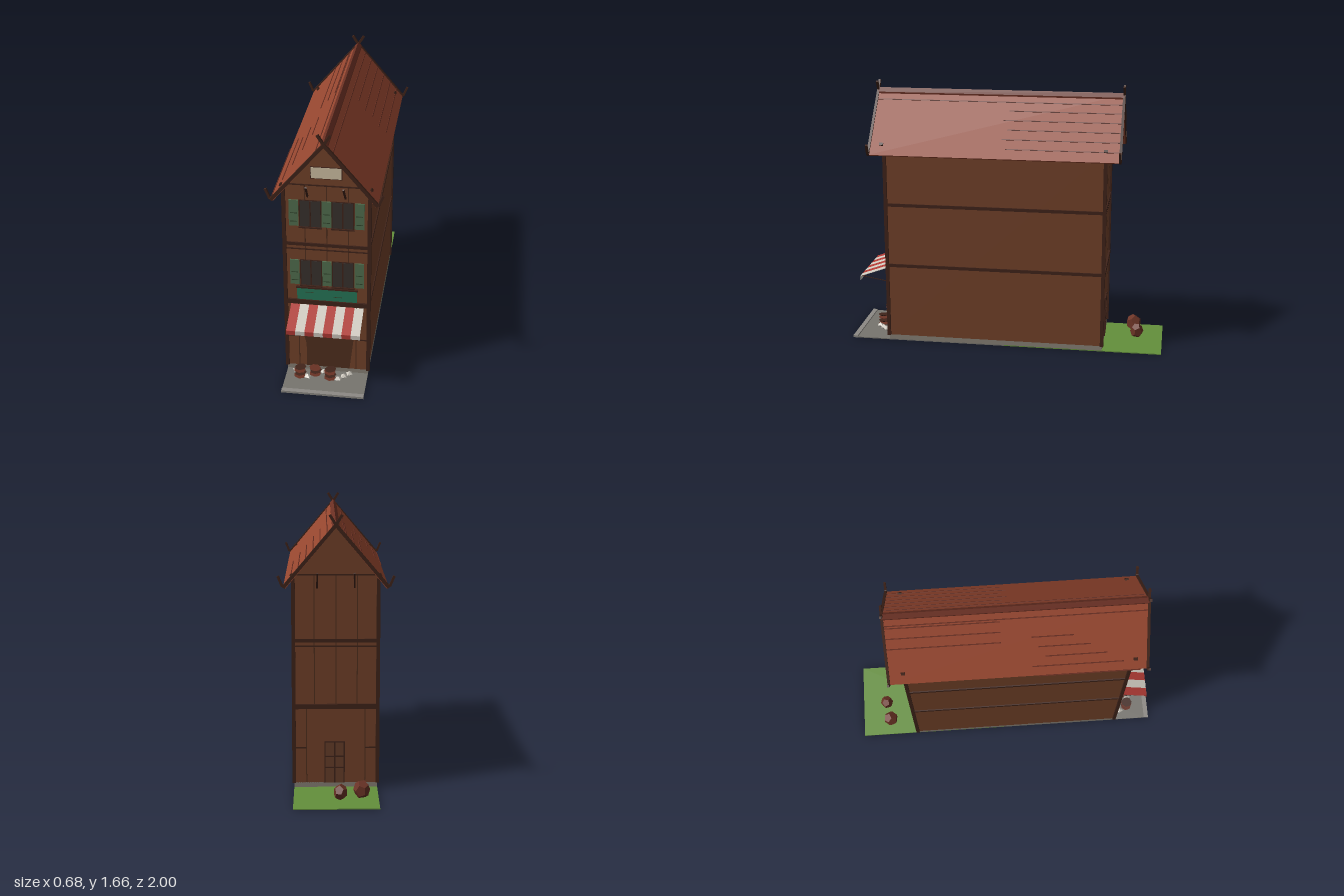
import * as THREE from 'three';

const mat = (color) => new THREE.MeshStandardMaterial({ color, flatShading: true, side: THREE.DoubleSide });
const M = {
  wall: mat(0x75432a), timber: mat(0x41241a), seam: mat(0x52301f), roof: mat(0x96462f), roofLine: mat(0x6b3023),
  stone: mat(0x8a8378), road: mat(0x77756f), curb: mat(0x8d8a85), grass: mat(0x64903c), glass: mat(0x3a322f),
  shutter: mat(0x537050), slat: mat(0x33482f), sign: mat(0x27795a), red: mat(0xb03a34), white: mat(0xcfcac0),
  cream: mat(0xbfb196), shade: mat(0x51301f), rock: mat(0x6b3325), door: mat(0x69402b),
};
const FRONT = 0.755, BACK = -0.625, W = 0.25;

export function createModel() {
  const root = new THREE.Group();

  const add = (parent, name, geo, m) => {
    const mesh = new THREE.Mesh(geo, m);
    mesh.name = name;
    parent.add(mesh);
    return mesh;
  };
  const group = (name, parent = root) => {
    const g = new THREE.Group();
    g.name = name;
    parent.add(g);
    return g;
  };
  // box given by its extents
  const box = (parent, name, x0, x1, y0, y1, z0, z1, m) => {
    const b = add(parent, name, new THREE.BoxGeometry(x1 - x0, y1 - y0, z1 - z0), m);
    b.position.set((x0 + x1) / 2, (y0 + y1) / 2, (z0 + z1) / 2);
    return b;
  };
  // square bar between two points
  const bar = (parent, name, a, b, w, d, m) => {
    const p = new THREE.Vector3(...a), q = new THREE.Vector3(...b);
    const mesh = add(parent, name, new THREE.BoxGeometry(w, p.distanceTo(q), d), m);
    mesh.position.copy(p).add(q).multiplyScalar(0.5);
    mesh.quaternion.setFromUnitVectors(new THREE.Vector3(0, 1, 0), q.sub(p).normalize());
    return mesh;
  };
  const polygon = (pts) => new THREE.Shape(pts.map((p) => new THREE.Vector2(...p)));
  const extrude = (parent, name, pts, depth, z, m) => {
    const mesh = add(parent, name, new THREE.ExtrudeGeometry(polygon(pts), { depth, bevelEnabled: false }), m);
    mesh.position.z = z;
    return mesh;
  };

  // Ground
  const ground = group('ground');
  box(ground, 'road', -W, W, 0, 0.006, 0, 0.97, M.road);
  box(ground, 'curb', -W, W, 0, 0.014, 0.97, 1, M.curb);
  box(ground, 'grass', -W, W, 0, 0.006, -1, 0, M.grass);
  box(ground, 'foundation', -W, W, 0.004, 0.036, BACK, FRONT, M.stone);

  // House body with gables
  const house = group('house');
  extrude(house, 'walls', [[-W, 0.034], [W, 0.034], [W, 1.29], [0, 1.585], [-W, 1.29]], FRONT - BACK, BACK, M.wall);
  for (const s of [-1, 1]) {
    for (const z of [FRONT, BACK]) {
      box(house, 'cornerPost', s * 0.25 - 0.011, s * 0.25 + 0.011, 0.034, 1.28, z - 0.011, z + 0.011, M.timber);
    }
    for (const y of [0.51, 0.91]) {
      box(house, 'sideBeam', s * 0.252 - 0.005, s * 0.252 + 0.005, y - 0.01, y + 0.01, BACK, FRONT, M.timber);
    }
  }

  // Beams, seams and eave struts repeated on both gable walls
  for (const [z, dir, name] of [[FRONT, 1, 'frontFraming'], [BACK, -1, 'backFraming']]) {
    const f = group(name, house);
    const strip = (n, x0, x1, y0, y1, t, m) =>
      box(f, n, x0, x1, y0, y1, Math.min(z, z + dir * t), Math.max(z, z + dir * t), m);
    strip('mainBeam', -W, W, 0.495, 0.525, 0.012, M.timber);
    strip('upperBeam', -W, W, 0.9, 0.92, 0.008, M.timber);
    strip('lowerRail', -W, W, 0.872, 0.88, 0.005, M.timber);
    strip('gableRail', -W, W, 1.297, 1.305, 0.005, M.timber);
    for (const x of [-0.127, 0, 0.127]) strip('seam', x - 0.003, x + 0.003, 0.525, 1.3, 0.002, M.seam);
    for (const s of [-1, 1]) {
      strip('lowerSeam', s * 0.175 - 0.003, s * 0.175 + 0.003, 0.036, 0.495, 0.003, M.seam);
      strip('lowerCrossRail', Math.min(s * 0.175, s * W), Math.max(s * 0.175, s * W), 0.25, 0.258, 0.003, M.timber);
      bar(f, 'eaveStrut', [s * 0.11, 1.225, z], [s * 0.107, 1.32, z + dir * 0.075], 0.01, 0.01, M.timber);
    }
  }

  // Back door
  const door = group('backDoor');
  box(door, 'doorPanel', -0.05, 0.065, 0.034, 0.29, BACK - 0.004, BACK, M.door);
  for (const x of [-0.05, 0.007, 0.065]) box(door, 'doorStile', x - 0.004, x + 0.004, 0.034, 0.29, BACK - 0.008, BACK, M.timber);
  for (const y of [0.13, 0.2, 0.29]) box(door, 'doorRail', -0.054, 0.069, y - 0.004, y + 0.004, BACK - 0.008, BACK, M.timber);

  // Windows and shutters on two floors
  for (const y of [0.63, 1.03]) {
    const row = group('windowRow');
    for (const x of [-0.095, 0.095]) {
      box(row, 'windowFrame', x - 0.066, x + 0.066, y - 0.002, y + 0.173, FRONT, FRONT + 0.004, M.timber);
      box(row, 'windowPane', x - 0.059, x + 0.059, y, y + 0.168, FRONT, FRONT + 0.006, M.glass);
      box(row, 'mullion', x - 0.004, x + 0.004, y, y + 0.168, FRONT, FRONT + 0.008, M.timber);
      box(row, 'windowSill', x - 0.068, x + 0.068, y - 0.01, y - 0.002, FRONT, FRONT + 0.012, M.timber);
    }
    for (const x of [-0.192, 0, 0.192]) {
      box(row, 'shutter', x - 0.028, x + 0.028, y + 0.002, y + 0.17, FRONT, FRONT + 0.008, M.shutter);
      for (const dy of [0.03, 0.085]) box(row, 'shutterSlat', x - 0.02, x + 0.02, y + dy, y + dy + 0.005, FRONT, FRONT + 0.01, M.slat);
    }
  }

  // Gable vent
  box(root, 'gableVent', -0.092, 0.092, 1.345, 1.42, FRONT, FRONT + 0.005, M.timber);
  for (let i = 0; i < 4; i++) {
    const slat = box(root, 'ventSlat', -0.087, 0.087, 1.35 + i * 0.017, 1.366 + i * 0.017, FRONT + 0.006, FRONT + 0.009, M.cream);
    slat.rotation.x = -0.2;
  }

  // Blank shop sign
  const sign = group('shopSign');
  box(sign, 'signBoard', -0.18, 0.18, 0.53, 0.61, FRONT, FRONT + 0.012, M.sign);
  box(sign, 'signTopTrim', -0.185, 0.185, 0.608, 0.618, FRONT, FRONT + 0.015, M.timber);
  for (const [x, y] of [[-0.11, 0.58], [0.06, 0.557]]) box(sign, 'signGroove', x - 0.02, x + 0.03, y, y + 0.004, FRONT, FRONT + 0.013, M.slat);

  // Shopfront panel
  extrude(root, 'shopfront', [[-0.13, 0.036], [0.135, 0.036], [0.175, 0.39], [0.175, 0.46], [-0.175, 0.46], [-0.175, 0.39], [-0.13, 0.2]], 0.003, FRONT, M.shade);

  // Striped awning
  const awning = group('awning');
  const sw = 0.44 / 8;
  for (let i = 0; i < 8; i++) {
    const x = -0.22 + (i + 0.5) * sw, m = i % 2 ? M.white : M.red;
    bar(awning, 'awningStripe', [x, 0.485, FRONT], [x, 0.416, 0.945], sw, 0.003, m);
    box(awning, 'awningValance', x - sw / 2, x + sw / 2, 0.39, 0.418, 0.943, 0.946, m);
  }
  for (const s of [-1, 1]) bar(awning, 'awningArm', [s * 0.2, 0.38, FRONT], [s * 0.2, 0.412, 0.94], 0.004, 0.004, M.timber);

  // Roof
  const roof = group('roof');
  const RZ0 = -0.715, RZ1 = 0.845, slope = 0.365 / 0.305;
  const roofY = (x) => 1.608 - Math.abs(x) * slope;
  for (const s of [-1, 1]) {
    extrude(roof, 'roofSlope', [[0, 1.606], [s * 0.305, 1.241], [s * 0.292, 1.233], [0, 1.585]], RZ1 - RZ0, RZ0, M.roof);
    // thin board lines lying on the slope
    const line = (x, z0, z1) => {
      const l = box(roof, 'roofBoardLine', s * x - 0.003, s * x + 0.003, roofY(x) - 0.002, roofY(x) + 0.002, z0, z1, M.roofLine);
      l.rotation.z = -s * Math.atan(slope);
    };
    line(0.05, RZ0, RZ1);
    for (let i = 0; i < 5; i++) {
      const x = 0.09 + i * 0.043;
      if (s > 0) line(x, RZ0, -0.01 + (i % 2) * 0.03);
      else line(x + 0.045, 0.15 + (i % 3) * 0.04, 0.4 + i * 0.1);
    }
    for (let i = 0; i < 3; i++) if (s < 0) line(0.06 + i * 0.045, RZ0, -0.03);
    for (const z of [0.77, -0.625]) {
      const peg = box(roof, 'roofPeg', s * 0.258 - 0.008, s * 0.258 + 0.008, 1.29, 1.308, z - 0.012, z + 0.012, M.timber);
      peg.rotation.z = -s * Math.atan(slope);
    }
    // bargeboards with crossed tops and upturned ends
    for (const z of [RZ0, RZ1]) {
      bar(roof, 'bargeboard', [-s * 0.036, 1.658, z], [0, 1.6, z], 0.016, 0.014, M.timber);
      bar(roof, 'bargeboard', [0, 1.6, z], [s * 0.305, 1.24, z], 0.02, 0.016, M.timber);
      bar(roof, 'bargeboardTip', [s * 0.292, 1.242, z], [s * 0.316, 1.256, z], 0.016, 0.014, M.timber);
      bar(roof, 'bargeboardTip', [s * 0.31, 1.248, z], [s * 0.335, 1.308, z], 0.014, 0.014, M.timber);
    }
  }
  extrude(roof, 'ridgeCap', [[0, 1.616], [0.022, 1.59], [0.022, 1.578], [0, 1.604], [-0.022, 1.578], [-0.022, 1.59]], RZ1 - RZ0, RZ0, M.roofLine);

  // Wares on the pavement: stacked dishes and pale pieces
  const wares = group('wares');
  for (const [x, z, n] of [[-0.16, 0.85, 4], [-0.07, 0.82, 3], [0.025, 0.85, 4]]) {
    for (let i = 0; i < n; i++) {
      const d = add(wares, 'dish', new THREE.CylinderGeometry(0.036, 0.024, 0.008, 7), i % 2 ? M.timber : M.rock);
      d.position.set(x + (i % 2) * 0.006, 0.022 + i * 0.021, z);
      d.rotation.z = (i % 2 ? 1 : -1) * 0.08;
    }
  }
  for (const [x, z] of [[-0.19, 0.8], [-0.11, 0.86], [-0.02, 0.8], [0.08, 0.86], [0.14, 0.8], [0.11, 0.83]]) {
    const p = add(wares, 'paleWare', new THREE.OctahedronGeometry(0.022), M.white);
    p.position.set(x, 0.03, z);
    p.scale.set(1.3, 0.8, 1);
    p.rotation.y = x * 9;
  }

  // Rocks on the grass
  for (const [x, z, r, t] of [[-0.15, -0.81, 0.05, 0.4], [-0.025, -0.835, 0.043, 1.3]]) {
    const rock = add(root, 'rock', new THREE.DodecahedronGeometry(r), M.rock);
    rock.position.set(x, r * 1.1, z);
    rock.rotation.y = t;
    rock.scale.y = 1.15;
  }
  return root;
}
